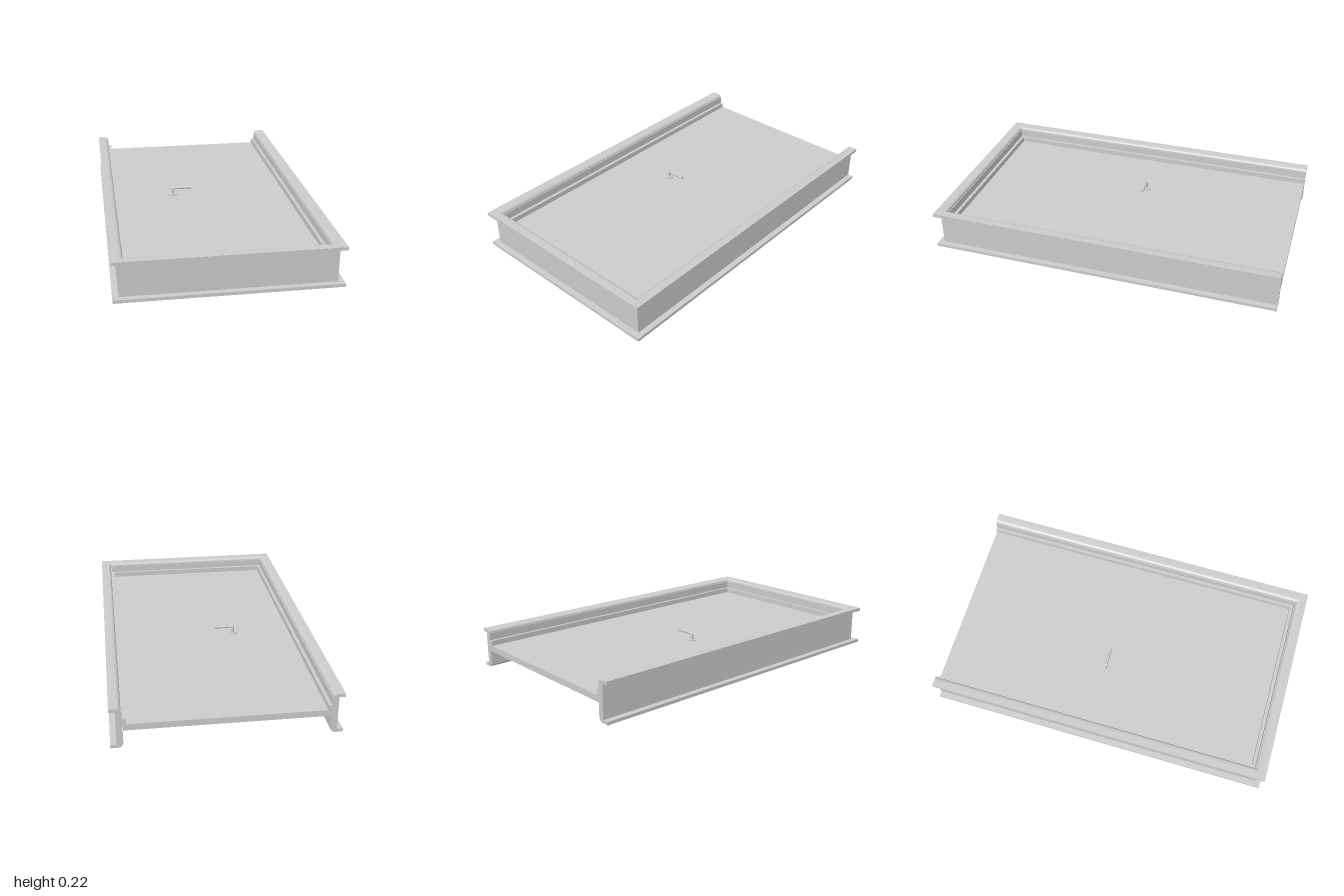
import * as THREE from 'three';
import { toCreasedNormals } from 'three/addons/utils/BufferGeometryUtils.js';

const HALF_W = 0.595, HALF_L = 1;
const HEIGHT = 0.225;
const LEAF_BOTTOM = 0.1, LEAF_TOP = 0.135;

const material = new THREE.MeshStandardMaterial({ color: 0xcccccc });

function add(parent, name, geometry, x = 0, y = 0, z = 0) {
  const mesh = new THREE.Mesh(geometry, material);
  mesh.name = name;
  mesh.position.set(x, y, z);
  parent.add(mesh);
  return mesh;
}

// Sweeps a profile of [inset, height] points around three sides with mitred corners
function sweepFrame(profile) {
  let pts = profile.map(([u, y]) => new THREE.Vector2(u, y));
  if (THREE.ShapeUtils.isClockWise(pts)) pts = pts.reverse();
  const n = pts.length;
  const corners = [
    (u) => [-(HALF_W - u), -HALF_L],
    (u) => [-(HALF_W - u), HALF_L - u],
    (u) => [HALF_W - u, HALF_L - u],
    (u) => [HALF_W - u, -HALF_L],
  ];
  const position = [], index = [];
  for (const corner of corners) {
    for (const p of pts) {
      const [x, z] = corner(p.x);
      position.push(x, p.y, z);
    }
  }
  for (let i = 0; i < 3; i++) {
    for (let j = 0; j < n; j++) {
      const k = (j + 1) % n;
      const a = i * n + j, b = i * n + k;
      index.push(a, b, b + n, a, b + n, a + n);
    }
  }
  // Cut ends at the open side
  for (const [a, b, c] of THREE.ShapeUtils.triangulateShape(pts, [])) {
    index.push(a, c, b, 3 * n + a, 3 * n + b, 3 * n + c);
  }
  const geometry = new THREE.BufferGeometry();
  geometry.setAttribute('position', new THREE.Float32BufferAttribute(position, 3));
  geometry.setIndex(index);
  return toCreasedNormals(geometry, 0.5);
}

const box = (u0, u1, y0, y1) => [[u0, y0], [u1, y0], [u1, y1], [u0, y1]];

// Rose, spindle and lever, built upwards from the leaf surface
function makeHandle(name) {
  const handle = new THREE.Group();
  handle.name = name;
  add(handle, 'rose', new THREE.CylinderGeometry(0.026, 0.026, 0.006, 32), 0, 0.003, 0);
  const path = new THREE.CurvePath();
  const v = (x, y) => new THREE.Vector3(x, y, 0);
  path.add(new THREE.LineCurve3(v(0, 0), v(0, 0.031)));
  path.add(new THREE.QuadraticBezierCurve3(v(0, 0.031), v(0, 0.041), v(0.01, 0.041)));
  path.add(new THREE.LineCurve3(v(0.01, 0.041), v(0.112, 0.041)));
  add(handle, 'lever', new THREE.TubeGeometry(path, 48, 0.008, 16));
  const cap = add(handle, 'leverEnd', new THREE.CircleGeometry(0.008, 16), 0.112, 0.041, 0);
  cap.rotation.y = Math.PI / 2;
  return handle;
}

export function createModel() {
  const model = new THREE.Group();
  model.name = 'doorWithFrame';

  // Frame: jamb lining, stop strip and a rounded trim on each face
  const frame = new THREE.Group();
  frame.name = 'frame';
  model.add(frame);
  add(frame, 'jamb', sweepFrame(box(0.032, 0.066, 0.018, HEIGHT - 0.018)));
  add(frame, 'doorStop', sweepFrame(box(0.064, 0.084, LEAF_TOP, 0.165)));

  const trim = [[0, 0.207], [0.061, 0.207], [0.061, 0.21]];
  for (let i = 1; i <= 6; i++) {
    const a = (i / 6) * Math.PI / 2;
    trim.push([0.036 + 0.025 * Math.cos(a), 0.21 + 0.015 * Math.sin(a)]);
  }
  trim.push([0, HEIGHT]);
  add(frame, 'topTrim', sweepFrame(trim));
  add(frame, 'bottomTrim', sweepFrame(trim.map(([u, y]) => [u, HEIGHT - y])));

  // Door leaf, reaching the open end
  const leafFront = HALF_L - 0.068;
  add(model, 'doorLeaf',
    new THREE.BoxGeometry(2 * (HALF_W - 0.068), LEAF_TOP - LEAF_BOTTOM, leafFront + HALF_L),
    0, (LEAF_TOP + LEAF_BOTTOM) / 2, (leafFront - HALF_L) / 2);

  // A handle on each face of the leaf
  const upper = makeHandle('upperHandle');
  upper.position.set(-0.173, LEAF_TOP, -0.062);
  const lower = makeHandle('lowerHandle');
  lower.position.set(-0.173, LEAF_BOTTOM, -0.062);
  lower.scale.y = -1;
  model.add(upper, lower);

  return model;
}
